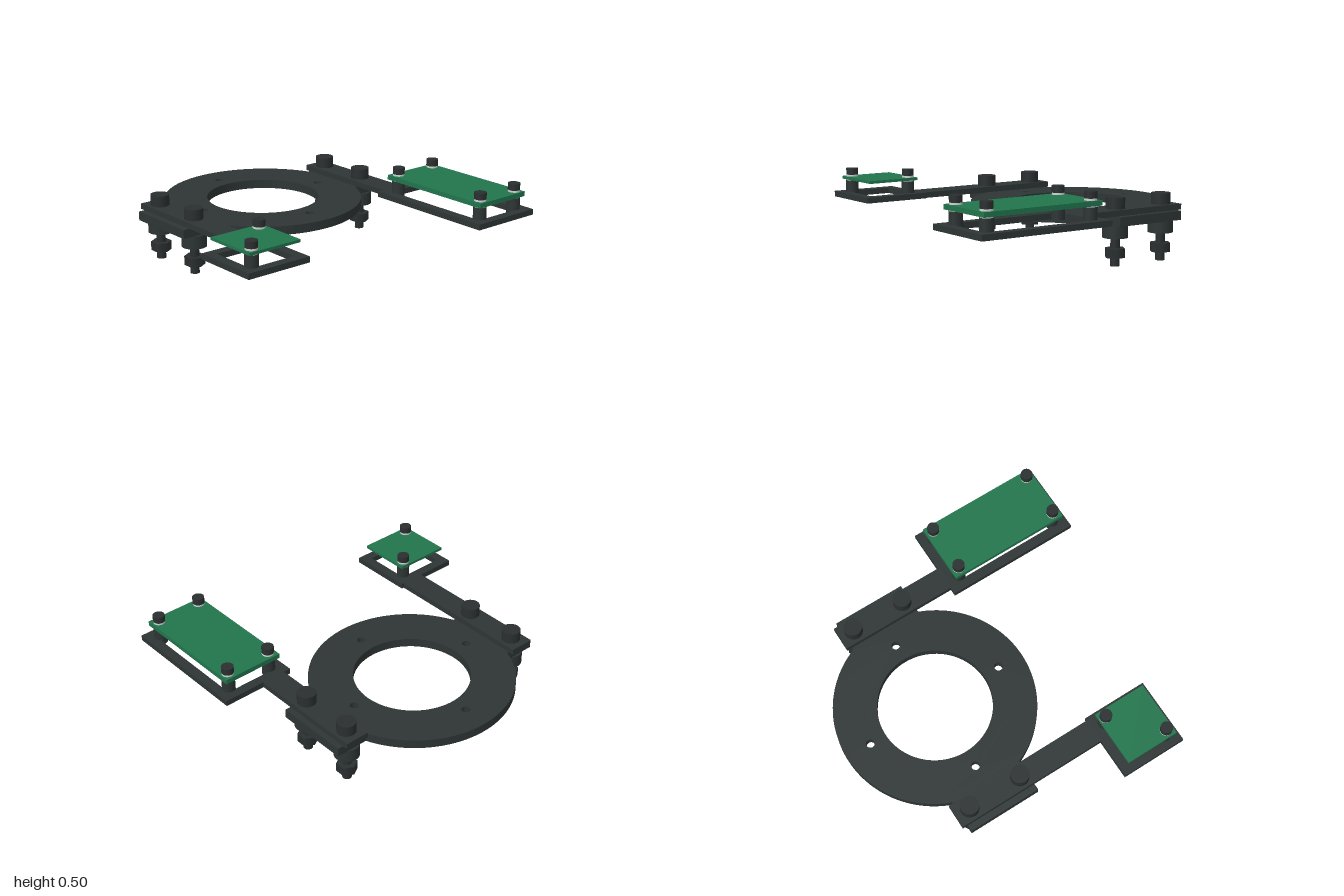
import * as THREE from 'three';

export function createModel() {
  const model = new THREE.Group();
  const mat = (name, color) => {
    const m = new THREE.MeshStandardMaterial({ color });
    m.name = name;
    return m;
  };
  const plastic = mat('dark plastic', 0x2d3534);
  const steel = mat('dark hardware', 0x2a2f30);
  const green = mat('board green', 0x21754c);
  const nylon = mat('light washer', 0xd4d6d6);

  const add = (parent, name, geometry, material, x = 0, y = 0, z = 0) => {
    const mesh = new THREE.Mesh(geometry, material);
    mesh.name = name;
    mesh.position.set(x, y, z);
    parent.add(mesh);
    return mesh;
  };
  const group = (name, x = 0, z = 0) => {
    const g = new THREE.Group();
    g.name = name;
    g.position.set(x, 0, z);
    model.add(g);
    return g;
  };
  // Box and upright cylinder given by their extents
  const box = (parent, name, m, x0, x1, y0, y1, z0, z1) =>
    add(parent, name, new THREE.BoxGeometry(x1 - x0, y1 - y0, z1 - z0), m,
      (x0 + x1) / 2, (y0 + y1) / 2, (z0 + z1) / 2);
  const rod = (parent, name, m, r, y0, y1, sides = 32) =>
    add(parent, name, new THREE.CylinderGeometry(r, r, y1 - y0, sides), m, 0, (y0 + y1) / 2, 0);
  // Flat plate cut from a shape drawn in x and z
  const plate = (parent, name, shape, m, y0, y1, x = 0, z = 0) => {
    const g = new THREE.ExtrudeGeometry(shape, { depth: y1 - y0, bevelEnabled: false, curveSegments: 48 });
    g.rotateX(Math.PI / 2);
    return add(parent, name, g, m, x, y1, z);
  };

  // Ring with two mounting tabs, a large bore and four small holes
  const R = 0.617, tabX = 0.233, tabZ = 0.777;
  const a = Math.acos(tabX / R);
  const ring = new THREE.Shape();
  ring.absarc(0, 0, R, -a, a, false);
  ring.lineTo(tabX, tabZ);
  ring.lineTo(-tabX, tabZ);
  ring.absarc(0, 0, R, Math.PI - a, Math.PI + a, false);
  ring.lineTo(-tabX, -tabZ);
  ring.lineTo(tabX, -tabZ);
  ring.closePath();
  const hole = (x, z, r) => ring.holes.push(new THREE.Path().absarc(x, z, r, 0, Math.PI * 2, true));
  hole(0, 0, 0.35);
  for (let i = 0; i < 4; i++) {
    const t = i * Math.PI / 2;
    hole(Math.cos(t) * 0.455, Math.sin(t) * 0.455, 0.026);
  }
  plate(model, 'mountingRing', ring, plastic, 0.25, 0.305, -0.367, 0.008);

  // Clamping bolt with spacer and hex nut
  const bolt = (x, z) => {
    const g = group('clampBolt', x, z);
    rod(g, 'boltHead', steel, 0.057, 0.34, 0.407);
    rod(g, 'boltSpacer', plastic, 0.076, 0.17, 0.25);
    rod(g, 'boltShaft', steel, 0.028, 0, 0.17);
    rod(g, 'hexNut', steel, 0.0625, 0.052, 0.107, 6).rotation.y = Math.PI / 6;
  };

  // Open rectangular frame with a boss under each standoff
  const W = 0.06;
  const frame = (x0, x1, z0, z1, posts) => {
    const s = new THREE.Shape([[x0, z0], [x1, z0], [x1, z1], [x0, z1]].map(p => new THREE.Vector2(...p)));
    s.holes.push(new THREE.Path([[x0 + W, z0 + W], [x0 + W, z1 - W], [x1 - W, z1 - W], [x1 - W, z0 + W]]
      .map(p => new THREE.Vector2(...p))));
    plate(model, 'boardFrame', s, plastic, 0.305, 0.34);
    for (const [x, z] of posts) rod(group('frameBoss', x, z), 'boss', plastic, 0.04, 0.306, 0.34);
  };

  // Standoff, washers and screw holding a board
  const standoff = (x, z, top) => {
    const g = group('standoff', x, z);
    rod(g, 'standoffPost', plastic, 0.04, 0.34, 0.413);
    rod(g, 'lowerWasher', nylon, 0.036, 0.413, 0.42);
    rod(g, 'upperWasher', nylon, 0.036, top, top + 0.012);
    rod(g, 'screwHead', steel, 0.037, top + 0.012, top + 0.052);
  };

  const sides = [
    { arm: [-0.635, 0.13, -0.732, -0.578], frame: [0.115, 0.98, -1, -0.532],
      board: [0.155, 0.94, -0.963, -0.575], top: 0.449, boltZ: -0.655,
      posts: [[0.203, -0.917], [0.893, -0.917], [0.203, -0.623], [0.893, -0.623]] },
    { arm: [-0.635, 0.35, 0.593, 0.745], frame: [0.338, 0.757, 0.577, 1],
      board: [0.377, 0.72, 0.612, 0.964], top: 0.437, boltZ: 0.67,
      posts: [[0.419, 0.66], [0.675, 0.916]] },
  ];
  for (const s of sides) {
    const [ax0, ax1, az0, az1] = s.arm, [bx0, bx1, bz0, bz1] = s.board;
    box(model, 'arm', plastic, ax0, ax1, 0.305, 0.34, az0, az1);
    frame(...s.frame, s.posts);
    box(model, 'circuitBoard', green, bx0, bx1, 0.42, s.top, bz0, bz1);
    for (const [x, z] of s.posts) standoff(x, z, s.top);
    for (const x of [-0.54, -0.191]) bolt(x, s.boltZ);
  }
  return model;
}
